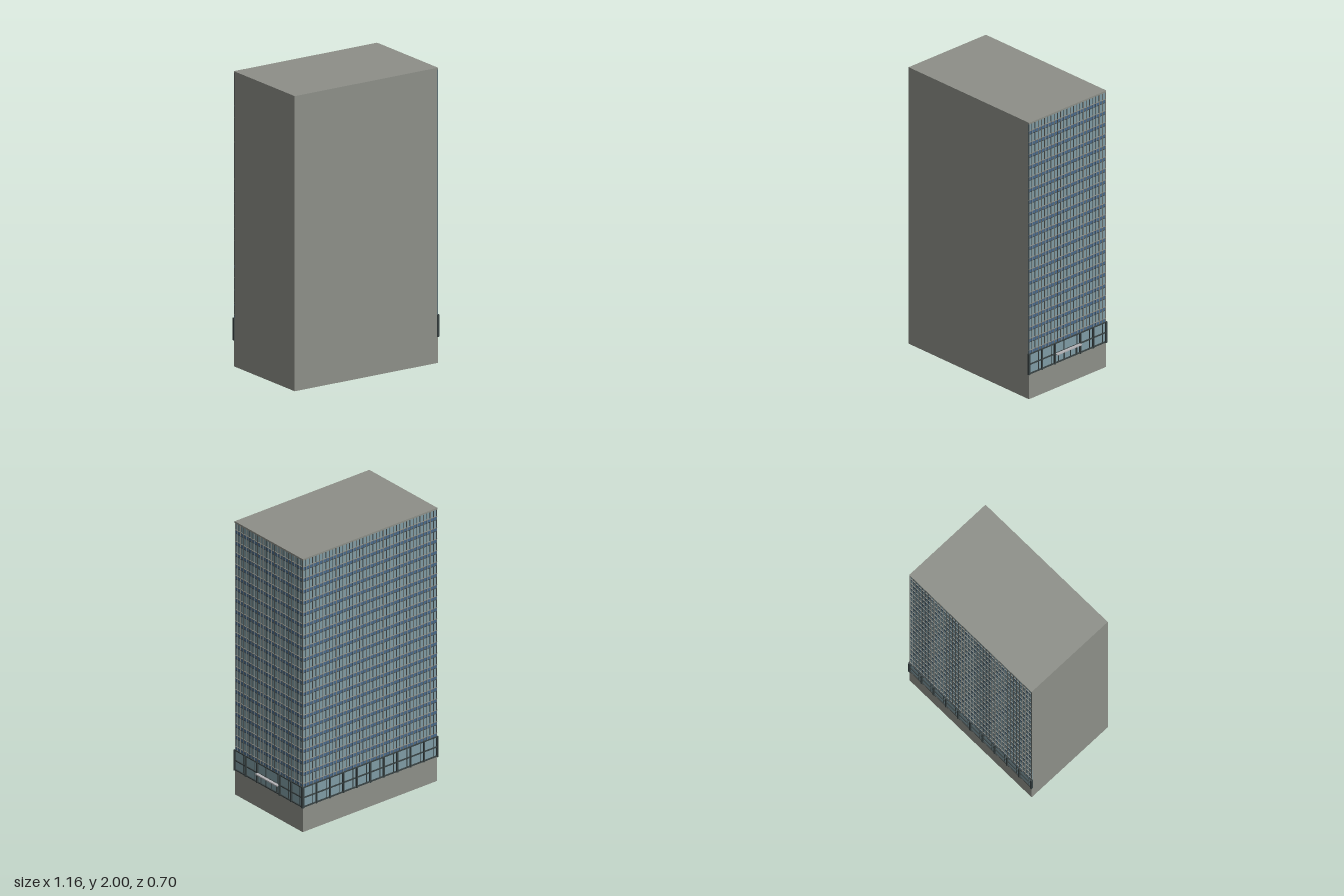
import * as THREE from 'three';
import { mergeGeometries } from 'three/addons/utils/BufferGeometryUtils.js';

const mat = (color) => new THREE.MeshStandardMaterial({ color });
const CONCRETE = mat(0x8d8f88), GLASS = mat(0x7f9ba4), SPANDREL = mat(0x48698c);
const FRAME = mat(0x384243), CANOPY = mat(0xb4b3b6);

// Box spanning the given minimum and maximum corners
function span(x0, x1, y0, y1, z0, z1) {
  const g = new THREE.BoxGeometry(x1 - x0, y1 - y0, z1 - z0);
  return g.translate((x0 + x1) / 2, (y0 + y1) / 2, (z0 + z1) / 2);
}

function part(name, material, geometries) {
  const mesh = new THREE.Mesh(mergeGeometries(geometries), material);
  mesh.name = name;
  return mesh;
}

const PODIUM = 0.18, LOBBY_TOP = 0.325, TOP = 2, FLOORS = 20;
const STOREY = (1.995 - LOBBY_TOP) / FLOORS;

// Curtain wall: width along x, outward along +z, glass just in front of z = 0
function facade(name, width, bays, pillars) {
  const g = new THREE.Group();
  g.name = name;
  const h = width / 2, bay = width / bays;
  const glass = [span(-h, h, PODIUM, TOP - 0.01, -0.002, 0.001)];
  const spandrels = [], ledges = [], frames = [], mullions = [], lobby = [];

  // Storey bands
  for (let i = 0; i < FLOORS; i++) {
    const y = LOBBY_TOP + i * STOREY;
    spandrels.push(span(-h, h, y + 0.003, y + 0.025, 0, 0.003));
    ledges.push(span(-h, h, y + 0.025, y + 0.029, 0, 0.0055));
    frames.push(span(-h, h, y, y + 0.003, 0, 0.0045));
  }
  ledges.push(span(-h, h, TOP - 0.012, TOP, -0.002, 0.0065));

  // Vertical mullions, four to each bay, each in a dark frame
  const n = bays * 4;
  for (let i = 0; i <= n; i++) {
    const x = THREE.MathUtils.clamp(-h + i * width / n, -h + 0.003, h - 0.003);
    mullions.push(span(x - 0.0016, x + 0.0016, LOBBY_TOP, TOP - 0.01, 0, 0.0065));
    frames.push(span(x - 0.003, x + 0.003, LOBBY_TOP, TOP - 0.01, 0, 0.004));
  }

  // Lobby pillars and rails
  for (const i of pillars) {
    const x = -h + i * bay;
    lobby.push(span(x - 0.005, x + 0.005, PODIUM - 0.003, LOBBY_TOP + 0.003, -0.003, 0.013));
  }
  for (const [y, t, d] of [[PODIUM + 0.003, 0.004, 0.009], [0.25, 0.004, 0.008], [LOBBY_TOP, 0.004, 0.009]])
    lobby.push(span(-h, h, y - t, y + t, 0, d));
  for (let i = 0; i < bays; i++) {
    const x = -h + (i + 0.75) * bay;
    lobby.push(span(x - 0.0015, x + 0.0015, PODIUM, LOBBY_TOP, 0, 0.006));
  }

  g.add(part('glass', GLASS, glass), part('spandrels', SPANDREL, spandrels),
    part('ledges', CONCRETE, ledges), part('windowFrames', FRAME, frames),
    part('mullions', CONCRETE, mullions), part('lobbyFrame', FRAME, lobby));
  return g;
}

export function createModel() {
  const model = new THREE.Group();
  model.name = 'officeTower';

  // Blank core and podium
  model.add(part('towerCore', CONCRETE, [span(-0.578, 0.55, PODIUM, TOP, -0.342, 0.345)]));
  model.add(part('podium', CONCRETE, [span(-0.578, 0.555, 0, PODIUM, -0.347, 0.345)]));

  // Short glazed side on +x, with an entrance gap in the middle
  const side = facade('sideFacade', 0.69, 6, [0, 1, 2, 4, 5, 6]);
  side.rotation.y = Math.PI / 2;
  side.position.x = 0.55;
  model.add(side);

  // Long glazed side at the back
  const back = facade('backFacade', 1.132, 10, [0, 1, 2, 3, 4, 5, 6, 7, 8, 9, 10]);
  back.rotation.y = Math.PI;
  back.position.set(-0.012, 0, -0.342);
  model.add(back);

  // Entrance canopy and door jambs
  model.add(part('canopy', CANOPY, [span(0.55, 0.578, 0.245, 0.253, -0.11, 0.11)]));
  model.add(part('doorJambs', FRAME,
    [-0.08, -0.027, 0.027, 0.08].map((z) => span(0.55, 0.558, PODIUM, 0.25, z - 0.002, z + 0.002))));
  return model;
}
